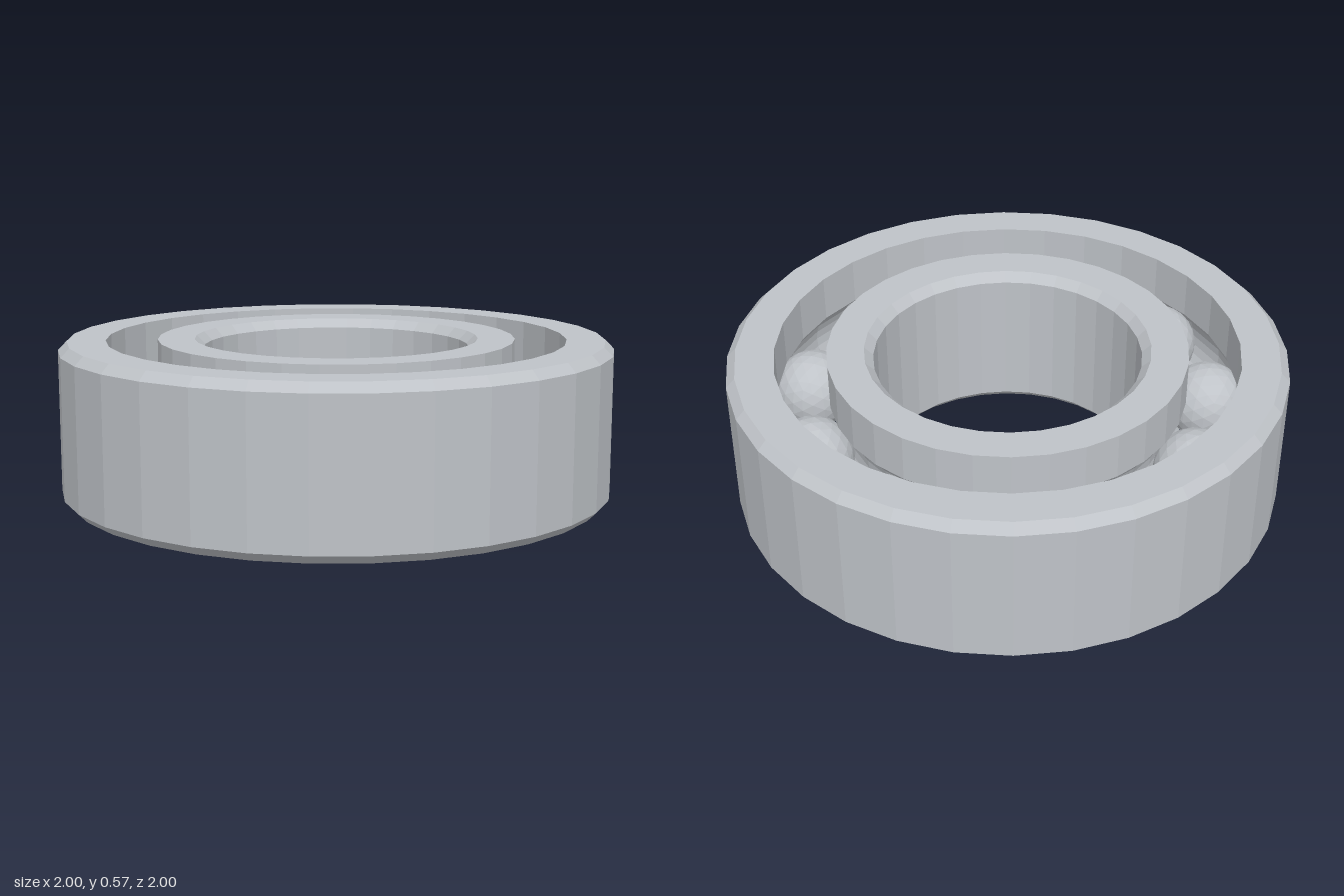
import * as THREE from 'three';

const HEIGHT = 0.575, MID = HEIGHT / 2, CHAMFER = 0.032;
const PITCH = 0.737, BALL = 0.146, BALLS = 11, SIDES = 32;

// Arc of the ball groove cut into a ring wall of the given radius, listed upward
function groove(wall) {
  const r = BALL + 0.002, out = Math.sign(wall - PITCH), points = [];
  const half = Math.acos(Math.abs(wall - PITCH) / r);
  for (let i = 0; i <= 8; i++) {
    const a = -half + (2 * half * i) / 8;
    points.push([PITCH + out * r * Math.cos(a), MID + r * Math.sin(a)]);
  }
  return points;
}

// Closed cross-section, counter-clockwise, spun round the axle
function ring(name, profile, material) {
  const points = [...profile, profile[0]].map(([x, y]) => new THREE.Vector2(x, y));
  const mesh = new THREE.Mesh(new THREE.LatheGeometry(points, SIDES), material);
  mesh.name = name;
  return mesh;
}

export function createModel() {
  const steel = new THREE.MeshStandardMaterial({ color: 0xbfc3c8, flatShading: true });
  steel.name = 'steel';
  const model = new THREE.Group();
  model.name = 'ballBearing';

  // Outer ring: chamfered outside, grooved inside
  const outerWall = 0.83;
  model.add(ring('outerRing', [
    [outerWall, 0], [1 - CHAMFER, 0], [1, CHAMFER],
    [1, HEIGHT - CHAMFER], [1 - CHAMFER, HEIGHT], [outerWall, HEIGHT],
    ...groove(outerWall).reverse(),
  ], steel));

  // Inner ring: grooved outside, chamfered bore
  const innerWall = 0.645, bore = 0.48;
  model.add(ring('innerRing', [
    [bore + CHAMFER, 0], [innerWall, 0], ...groove(innerWall),
    [innerWall, HEIGHT], [bore + CHAMFER, HEIGHT],
    [bore, HEIGHT - CHAMFER], [bore, CHAMFER],
  ], steel));

  // Balls between the rings
  const ballGeometry = new THREE.IcosahedronGeometry(BALL, 3);
  for (let i = 0; i < BALLS; i++) {
    const a = (i / BALLS) * Math.PI * 2;
    const ball = new THREE.Mesh(ballGeometry, steel);
    ball.name = 'ball' + (i + 1);
    ball.position.set(PITCH * Math.cos(a), MID, PITCH * Math.sin(a));
    ball.rotation.y = -a;
    model.add(ball);
  }
  return model;
}
